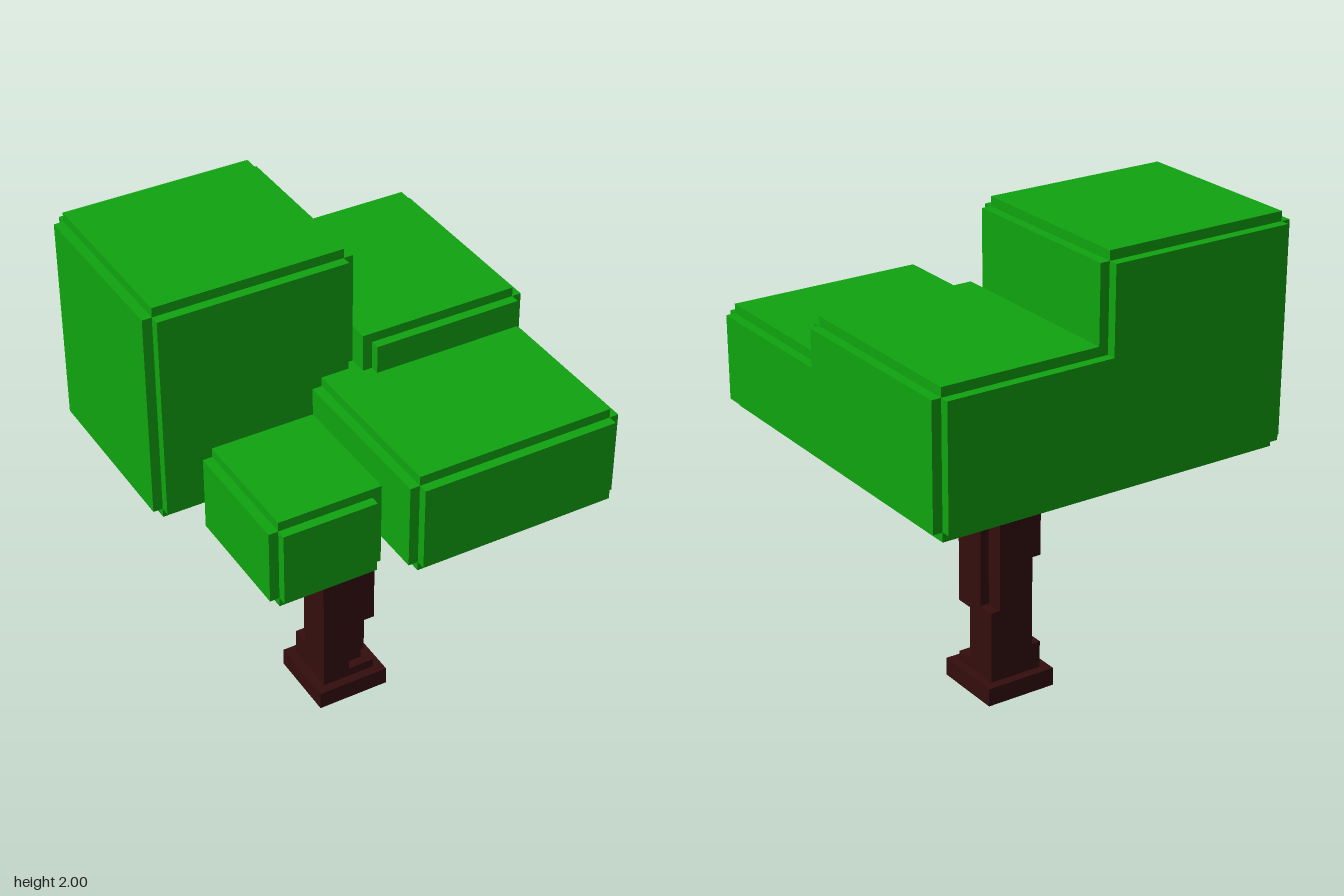
import * as THREE from 'three';
import { mergeGeometries } from 'three/addons/utils/BufferGeometryUtils.js';

const U = 2 / 53; // one voxel

// Box given by its extents in voxels
function block(x0, x1, y0, y1, z0, z1) {
  const g = new THREE.BoxGeometry((x1 - x0) * U, (y1 - y0) * U, (z1 - z0) * U);
  return g.translate((x0 + x1) * U / 2, (y0 + y1) * U / 2, (z0 + z1) * U / 2);
}

// Box whose twelve edges are notched by one voxel
function notched(x0, x1, y0, y1, z0, z1) {
  return [
    block(x0, x1, y0 + 1, y1 - 1, z0 + 1, z1 - 1),
    block(x0 + 1, x1 - 1, y0, y1, z0 + 1, z1 - 1),
    block(x0 + 1, x1 - 1, y0 + 1, y1 - 1, z0, z1),
  ];
}

// One quarter of the trunk, its outer corner cut away between heights a and b.
// d: depth left in the inner columns, e: depth left in the outermost column
function trunkQuarter(sx, sz, a, b, d, e) {
  const part = (x0, x1, y0, y1, depth) => block(
    Math.min(sx * x0, sx * x1), Math.max(sx * x0, sx * x1), y0, y1,
    Math.min(0, sz * depth), Math.max(0, sz * depth));
  const parts = [part(0, 3, 2, a, 3), part(0, 2, a, b, d), part(2, 3, a, b, e)];
  if (b < 30) parts.push(part(0, 3, b, 30, 3));
  return parts;
}

export function createModel() {
  const model = new THREE.Group();
  const leaf = new THREE.MeshStandardMaterial({ color: 0x10a510 });
  const bark = new THREE.MeshStandardMaterial({ color: 0x340d0d });
  const add = (name, parts, material) => {
    const mesh = new THREE.Mesh(mergeGeometries(parts), material);
    mesh.name = name;
    model.add(mesh);
  };

  // Trunk with a chipped corner on each side
  add('trunkBase', [block(-4, 4, 0, 2, -4, 4)], bark);
  add('trunk', [
    ...trunkQuarter(1, 1, 3, 9, 2, 1),
    ...trunkQuarter(1, -1, 10, 21, 3, 1),
    ...trunkQuarter(-1, -1, 5, 15, 3, 1),
    ...trunkQuarter(-1, 1, 17, 30, 3, 2),
  ], bark);

  // Four leaf masses that step down around the trunk
  add('tallFoliage', notched(-20, 2, 29, 53, -20, 1), leaf);
  add('middleFoliage', [
    ...notched(2, 20, 29, 44, -20, 3),
    block(2, 19, 29, 44, -19, 2), // top runs into the tall mass
    block(0, 19, 30, 43, -20, -1), // back runs flush behind it
  ], leaf);
  add('frontFoliage', notched(-3, 20, 29, 40, -20, 20), leaf);
  add('lowFoliage', [
    ...notched(-15, -3, 26, 36, 0, 15),
    block(-14, -3, 30, 36, 0, 14), // top runs into the front mass
  ], leaf);

  return model;
}
